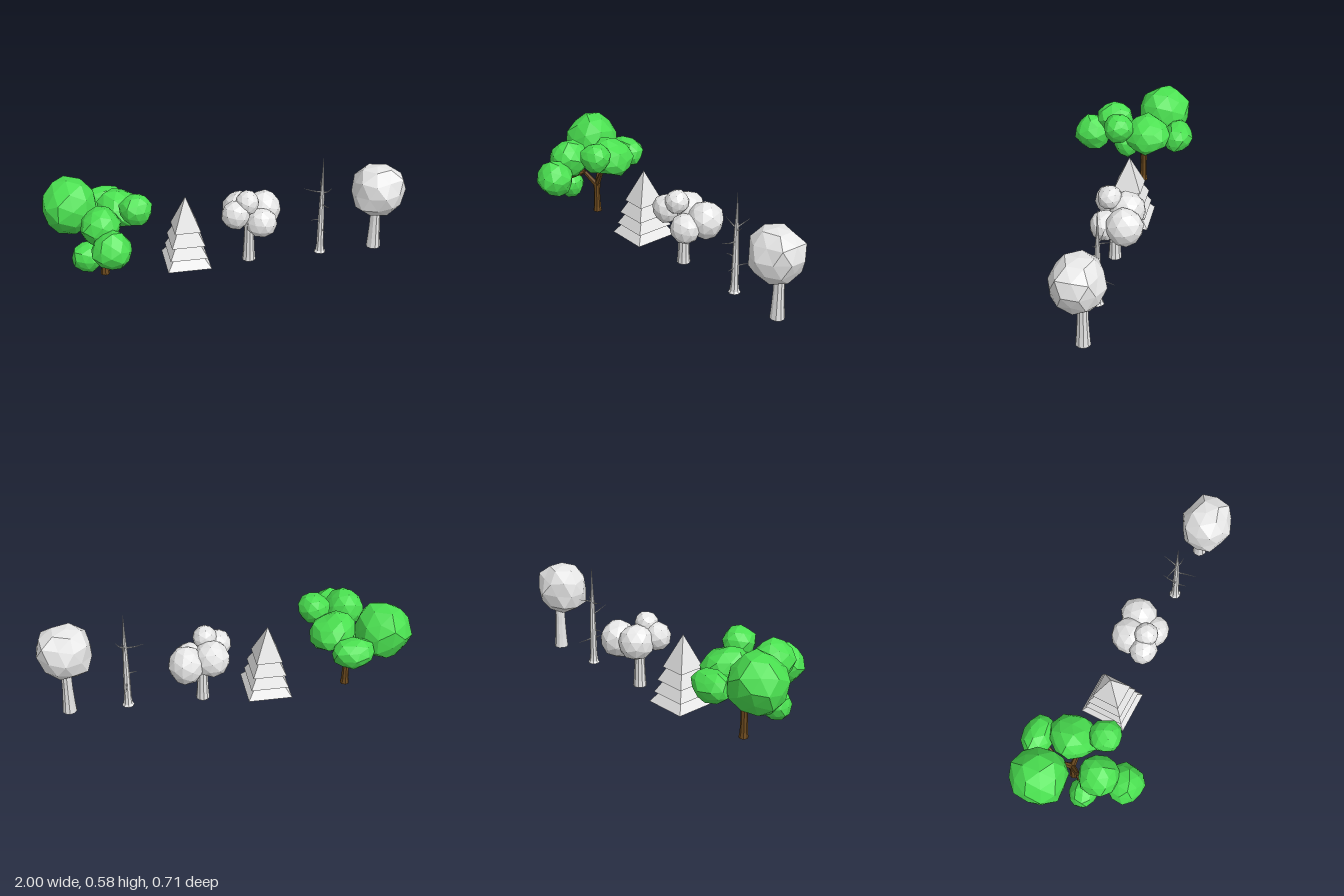
import * as THREE from 'three';

const mat = (name, color) => {
  const m = new THREE.MeshStandardMaterial({ color, flatShading: true });
  m.name = name;
  return m;
};

export function createModel() {
  const leafGreen = mat('leafGreen', 0x4ae050);
  const barkBrown = mat('barkBrown', 0x6c4a1e);
  const paleGrey = mat('paleGrey', 0xe7e7e7);
  const root = new THREE.Group();
  root.name = 'treeCollection';

  const tree = (name, x, z) => {
    const g = new THREE.Group();
    g.name = name;
    g.position.set(x, 0, z);
    root.add(g);
    return g;
  };
  const add = (g, name, geo, m) => {
    const mesh = new THREE.Mesh(geo, m);
    mesh.name = name;
    g.add(mesh);
    return mesh;
  };

  // faceted foliage ball: corners shifted by a rule of their direction, then fitted to its half sizes
  const blob = (g, name, m, [x, y, z], [rx, ry, rz], seed, rough, tilt = 0) => {
    const geo = new THREE.IcosahedronGeometry(1, 1);
    const p = geo.attributes.position;
    const v = new THREE.Vector3();
    for (let i = 0; i < p.count; i++) {
      v.fromBufferAttribute(p, i);
      const n = Math.sin(v.x * 5.1 + seed) + Math.sin(v.y * 6.3 + seed * 2.1) + Math.sin(v.z * 5.7 + seed * 3.7);
      v.multiplyScalar(1 + (rough * n) / 3);
      p.setXYZ(i, v.x, v.y, v.z);
    }
    geo.rotateY(seed);
    geo.rotateX(seed * 0.7);
    geo.center();
    geo.boundingBox.getSize(v);
    geo.scale((2 * rx) / v.x, (2 * ry) / v.y, (2 * rz) / v.z);
    geo.rotateZ(tilt);
    geo.computeVertexNormals();
    add(g, name, geo, m).position.set(x, y, z);
  };

  // tapered limb between two points
  const limb = (g, name, m, a, b, r0, r1, sides = 6) => {
    const from = new THREE.Vector3(...a);
    const dir = new THREE.Vector3(...b).sub(from);
    const len = dir.length();
    const geo = new THREE.CylinderGeometry(r1, r0, len, sides);
    geo.translate(0, len / 2, 0);
    const mesh = add(g, name, geo, m);
    mesh.position.copy(from);
    mesh.quaternion.setFromUnitVectors(new THREE.Vector3(0, 1, 0), dir.normalize());
  };

  // turned trunk, closed at both ends
  const trunk = (g, m, profile, sides = 10) => {
    const pts = [[0, 0], ...profile, [0, profile[profile.length - 1][1]]];
    add(g, 'trunk', new THREE.LatheGeometry(pts.map(([r, y]) => new THREE.Vector2(r, y)), sides), m);
  };

  // spreading tree: forked trunk with seven foliage masses
  const broad = tree('spreadingTree', -0.69, -0.06);
  trunk(broad, barkBrown, [[0.026, 0], [0.021, 0.03], [0.018, 0.12], [0.022, 0.19]], 8);
  const forks = [
    { joint: [-0.04, 0.26, 0.06], ends: [[-0.02, 0.36, 0.17], [0.02, 0.28, 0.25], [-0.09, 0.2, 0.11]] },
    { joint: [0.06, 0.27, 0.01], ends: [[0.16, 0.42, 0.11], [0.1, 0.36, -0.04]] },
    { joint: [-0.03, 0.27, -0.05], ends: [[-0.15, 0.38, -0.09], [0.03, 0.34, -0.19]] },
  ];
  for (const { joint, ends } of forks) {
    limb(broad, 'bough', barkBrown, [0, 0.17, 0], joint, 0.017, 0.012);
    for (const e of ends) limb(broad, 'branch', barkBrown, joint, e, 0.011, 0.007);
  }
  const crowns = [
    [[0.02, 0.313, 0.307], [0.104, 0.11, 0.104]],
    [[-0.02, 0.39, 0.18], [0.108, 0.108, 0.108]],
    [[-0.1, 0.183, 0.12], [0.079, 0.083, 0.078]],
    [[0.17, 0.44, 0.12], [0.087, 0.083, 0.088]],
    [[-0.164, 0.397, -0.09], [0.146, 0.153, 0.146]],
    [[0.1, 0.375, -0.035], [0.132, 0.1, 0.137], -0.35],
    [[0.03, 0.347, -0.208], [0.108, 0.08, 0.088]],
  ];
  crowns.forEach(([c, r, tilt], i) => blob(broad, 'foliage', leafGreen, c, r, i * 1.3 + 0.4, 0.11, tilt));

  // fir: stacked four-sided tiers on a short flared trunk
  const fir = tree('firTree', -0.236, -0.063);
  trunk(fir, paleGrey, [[0.033, 0], [0.026, 0.015], [0.024, 0.06]]);
  for (const [half, y, h] of [[0.122, 0.033, 0.18], [0.105, 0.09, 0.2], [0.093, 0.16, 0.2], [0.073, 0.237, 0.188]]) {
    const geo = new THREE.ConeGeometry(half * Math.SQRT2, h, 4);
    geo.rotateY(Math.PI / 4);
    geo.scale(0.99, 1, 1.07);
    add(fir, 'firTier', geo, paleGrey).position.y = y + h / 2;
  }

  // cluster tree: five overlapping balls
  const cluster = tree('clusterTree', 0.12, -0.06);
  trunk(cluster, paleGrey, [[0.038, 0], [0.034, 0.04], [0.029, 0.14], [0.027, 0.26]]);
  const balls = [
    [[0.095, 0.275, -0.07], [0.1, 0.108, 0.102]],
    [[-0.04, 0.295, -0.06], [0.095, 0.095, 0.095]],
    [[0.062, 0.245, 0.045], [0.082, 0.08, 0.08]],
    [[-0.088, 0.312, 0.05], [0.076, 0.08, 0.076]],
    [[-0.02, 0.373, 0.035], [0.066, 0.066, 0.066]],
  ];
  balls.forEach(([c, r], i) => blob(cluster, 'foliageBall', paleGrey, c, r, i * 0.9 + 0.2, 0.05));

  // bare tree: slim spike with thin twigs
  const bare = tree('bareTree', 0.535, -0.06);
  trunk(bare, paleGrey, [[0.034, 0], [0.026, 0.012], [0.021, 0.05], [0.018, 0.2], [0.013, 0.36], [0.006, 0.47], [0.001, 0.58]], 8);
  const twigs = [
    [[0, 0.375, 0], [-0.055, 0.385, -0.01], [-0.1, 0.4, -0.015]],
    [[0, 0.37, 0], [0.03, 0.38, 0.01], [0.05, 0.4, 0.015]],
    [[0, 0.205, 0], [-0.035, 0.21, 0.005], [-0.06, 0.21, 0.01]],
    [[0, 0.155, 0], [0.005, 0.15, -0.05], [0.015, 0.145, -0.09]],
    [[0, 0.15, 0], [0.005, 0.148, 0.03], [0.01, 0.15, 0.06]],
    [[0, 0.3, 0], [0.008, 0.31, 0.05], [0.012, 0.33, 0.11]],
    [[0, 0.38, 0], [0.005, 0.395, -0.04], [0.01, 0.41, -0.085]],
  ];
  for (const [a, b, c] of twigs) {
    limb(bare, 'twig', paleGrey, a, b, 0.005, 0.003, 5);
    limb(bare, 'twigTip', paleGrey, b, c, 0.003, 0.0008, 5);
  }

  // round tree: one large crown
  const round = tree('roundTree', 0.855, -0.06);
  trunk(round, paleGrey, [[0.04, 0], [0.035, 0.06], [0.03, 0.15], [0.027, 0.3]]);
  blob(round, 'crown', paleGrey, [0, 0.374, 0.025], [0.145, 0.14, 0.147], 2.2, 0.12);

  return root;
}
